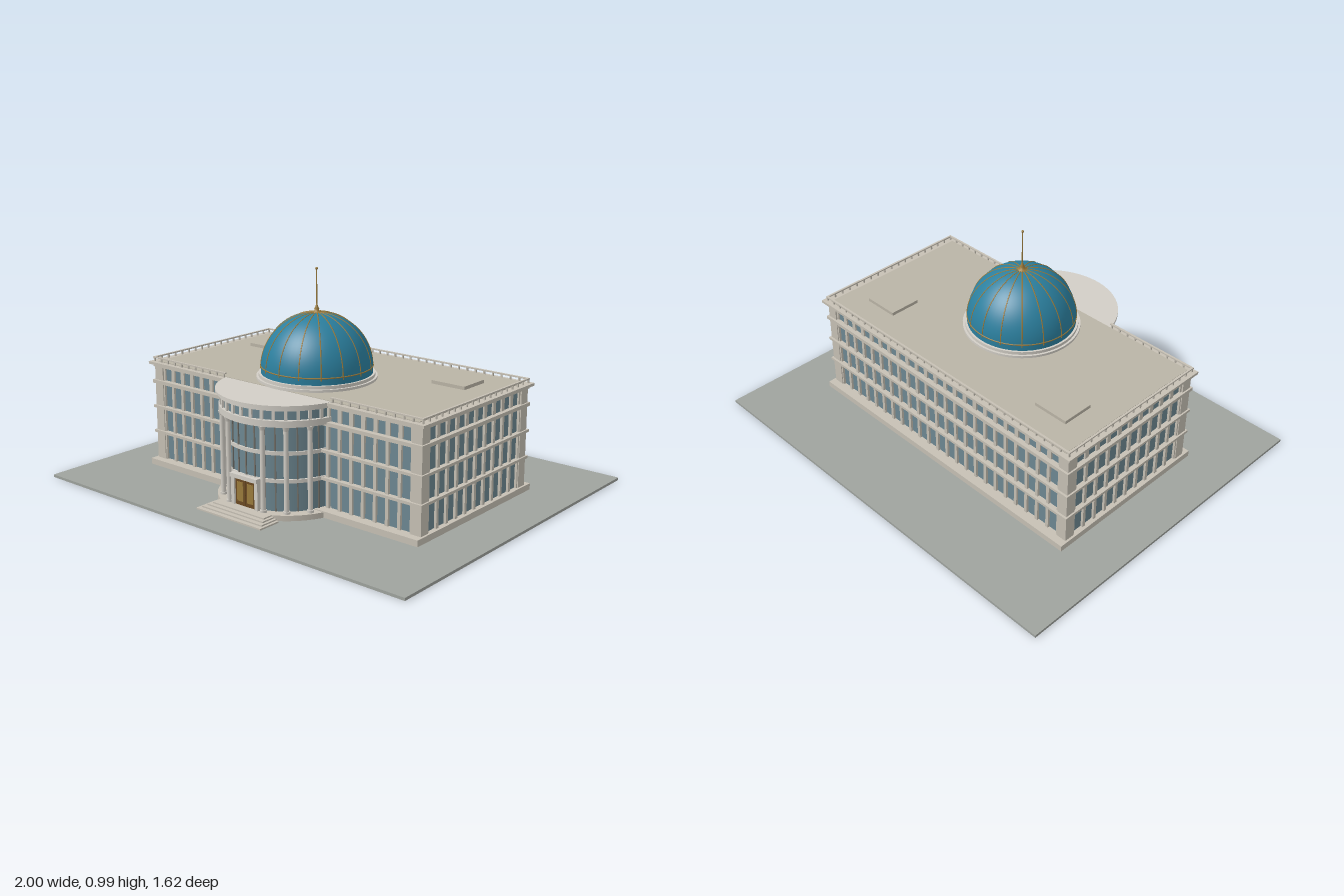
import * as THREE from 'three';

const mat = (color, extra = {}) => new THREE.MeshStandardMaterial({ color, ...extra });
const stone = mat(0xc6c0b4), pale = mat(0xd2cec6), roofMat = mat(0xbab4a6), paving = mat(0x9fa39e);
const glass = mat(0x6d8791), blue = mat(0x2b7f9e), gold = mat(0x9a7b3c), wood = mat(0x6b4a22), metal = mat(0x77756e);

function add(parent, name, geo, material, x = 0, y = 0, z = 0) {
  const m = new THREE.Mesh(geo, material);
  m.name = name;
  m.position.set(x, y, z);
  parent.add(m);
  return m;
}
// Box given by its centre in x and z and by its bottom and top heights
const box = (p, name, material, w, d, y0, y1, x = 0, z = 0) =>
  add(p, name, new THREE.BoxGeometry(w, y1 - y0, d), material, x, (y0 + y1) / 2, z);
// Upright cylinder between two heights
const drum = (p, name, material, r, y0, y1, x = 0, z = 0, n = 64, rTop = r) =>
  add(p, name, new THREE.CylinderGeometry(rTop, r, y1 - y0, n), material, x, (y0 + y1) / 2, z);

function group(parent, name, z = 0) {
  const g = new THREE.Group();
  g.name = name;
  g.position.z = z;
  parent.add(g);
  return g;
}

// Pilasters of one wall, built facing +z at distance d and turned into place
function facade(parent, name, half, d, cells, angle, isFront) {
  const g = group(parent, name);
  g.rotation.y = angle;
  const step = 2 * half / cells;
  for (let i = 0; i <= cells; i++) {
    const x = -half + i * step;
    if (isFront && Math.abs(x) < 0.27) continue;
    box(g, 'pilaster', stone, 0.015, 0.022, 0.04, 0.41, x, d - 0.005);
    box(g, 'upperPilaster', stone, 0.021, 0.018, 0.42, 0.49, x, d - 0.006);
  }
}

function mainBlock(root) {
  const g = group(root, 'mainBlock');
  box(g, 'plinth', stone, 1.54, 0.84, 0.012, 0.04);
  box(g, 'glazing', glass, 1.49, 0.74, 0.04, 0.49);
  for (const sx of [-1, 1]) for (const sz of [-1, 1])
    box(g, 'cornerPier', stone, 0.05, 0.05, 0.04, 0.49, sx * 0.735, sz * 0.36);
  // Floor bands
  for (const [y, t] of [[0.17, 0.012], [0.29, 0.012], [0.41, 0.016]])
    box(g, 'floorBand', stone, 1.535, 0.79, y - t / 2, y + t / 2);
  facade(g, 'frontWall', 0.71, 0.375, 23, 0, true);
  facade(g, 'backWall', 0.71, 0.375, 23, Math.PI, false);
  facade(g, 'leftWall', 0.335, 0.75, 10, Math.PI / 2, false);
  facade(g, 'rightWall', 0.335, 0.75, 10, -Math.PI / 2, false);
  // Cornice and roof
  box(g, 'frieze', stone, 1.53, 0.78, 0.48, 0.492);
  box(g, 'cornice', stone, 1.56, 0.81, 0.492, 0.504);
  box(g, 'roof', roofMat, 1.48, 0.76, 0.5, 0.507);
  for (const s of [-1, 1]) box(g, 'roofUnit', roofMat, 0.17, 0.15, 0.5, 0.522, s * 0.535, -0.18);
}

function railing(root) {
  const g = group(root, 'railing');
  const post = new THREE.BoxGeometry(0.007, 0.02, 0.007);
  for (const s of [-1, 1]) {
    box(g, 'sideRail', stone, 0.01, 0.78, 0.52, 0.526, s * 0.76);
    box(g, 'frontRail', stone, 0.46, 0.01, 0.52, 0.526, s * 0.53, 0.385);
    for (let i = 0; i <= 18; i++) add(g, 'post', post, stone, s * 0.76, 0.512, -0.385 + i * 0.77 / 18);
    for (let i = 0; i <= 10; i++) add(g, 'post', post, stone, s * (0.76 - i * 0.045), 0.512, 0.385);
  }
  box(g, 'backRail', stone, 1.53, 0.01, 0.52, 0.526, 0, -0.385);
  for (let i = 0; i <= 34; i++) add(g, 'post', post, stone, -0.76 + i * 1.52 / 34, 0.512, -0.385);
}

function rotunda(root) {
  const g = group(root, 'rotunda', 0.31);
  drum(g, 'base', stone, 0.31, 0.012, 0.036);
  drum(g, 'glazing', glass, 0.262, 0.036, 0.42);
  for (const y of [0.17, 0.29]) drum(g, 'floorBand', pale, 0.27, y - 0.008, y + 0.008);
  drum(g, 'architrave', pale, 0.298, 0.41, 0.438);
  drum(g, 'upperGlazing', glass, 0.283, 0.438, 0.482);
  drum(g, 'cornice', pale, 0.3, 0.48, 0.493);
  drum(g, 'flatRoof', pale, 0.311, 0.493, 0.505);
  // Columns with bases and capitals, mullions and small upper posts
  for (let a = -100; a <= 100; a += 5) {
    const t = a * Math.PI / 180, s = Math.sin(t), c = Math.cos(t);
    if (a % 20 === 0 && a !== 0) {
      drum(g, 'column', pale, 0.011, 0.036, 0.41, s * 0.285, c * 0.285, 12);
      drum(g, 'columnBase', pale, 0.015, 0.036, 0.046, s * 0.285, c * 0.285, 12);
      drum(g, 'capital', pale, 0.011, 0.393, 0.41, s * 0.285, c * 0.285, 12, 0.016);
    }
    if (a % 10 === 0) {
      const y0 = a === 0 ? 0.17 : 0.036;
      box(g, 'mullion', metal, 0.006, 0.008, y0, 0.41, s * 0.263, c * 0.263).rotation.y = t;
      box(g, 'upperPost', pale, 0.013, 0.018, 0.438, 0.482, s * 0.284, c * 0.284).rotation.y = t;
    }
  }
  // Entrance
  const e = group(g, 'entrance');
  for (const s of [-1, 1]) {
    box(e, 'doorJamb', pale, 0.018, 0.04, 0.036, 0.17, s * 0.067, 0.26);
    box(e, 'doorLeaf', wood, 0.055, 0.02, 0.036, 0.155, s * 0.029, 0.262);
    box(e, 'doorPanel', gold, 0.034, 0.006, 0.055, 0.14, s * 0.029, 0.272);
  }
  box(e, 'doorLintel', pale, 0.152, 0.05, 0.158, 0.176, 0, 0.262);
}

function steps(root) {
  const g = group(root, 'steps');
  for (let i = 0; i < 4; i++) {
    const front = 0.69 - i * 0.02;
    box(g, 'step', stone, 0.37 - i * 0.025, front - 0.58, 0.012, 0.019 + i * 0.006, 0, (front + 0.58) / 2);
  }
}

function dome(root) {
  const g = group(root, 'dome', 0.122), R = 0.245, y0 = 0.55;
  drum(g, 'lowerRing', pale, 0.265, 0.5, 0.518);
  drum(g, 'upperRing', pale, 0.255, 0.518, 0.532);
  drum(g, 'drumWall', blue, R, 0.53, y0);
  add(g, 'shell', new THREE.SphereGeometry(R, 64, 24, 0, Math.PI * 2, 0, Math.PI / 2), blue, 0, y0, 0);
  const band = add(g, 'goldBand', new THREE.TorusGeometry(R, 0.003, 6, 64), gold, 0, y0 + 0.012, 0);
  band.rotation.x = Math.PI / 2;
  // Meridian ribs
  const rib = new THREE.TorusGeometry(R, 0.0028, 5, 24, Math.PI / 2);
  for (let i = 0; i < 16; i++) add(g, 'rib', rib, gold, 0, y0, 0).rotation.y = i * Math.PI / 8;
  // Finial and spire
  const profile = [[0.024, 0], [0.02, 0.006], [0.009, 0.01], [0.011, 0.02], [0.005, 0.03], [0.003, 0.045], [0, 0.05]];
  add(g, 'finial', new THREE.LatheGeometry(profile.map(p => new THREE.Vector2(...p)), 16),
    mat(0x9a7b3c, { side: THREE.DoubleSide }), 0, 0.791, 0);
  drum(g, 'spire', gold, 0.0035, 0.82, 0.985, 0, 0, 8, 0.0018);
  add(g, 'spireBall', new THREE.SphereGeometry(0.006, 12, 8), gold, 0, 0.985, 0);
}

export function createModel() {
  const root = new THREE.Group();
  root.name = 'domedPalace';
  box(root, 'ground', paving, 2, 1.62, 0, 0.012);
  mainBlock(root);
  railing(root);
  rotunda(root);
  steps(root);
  dome(root);
  return root;
}
